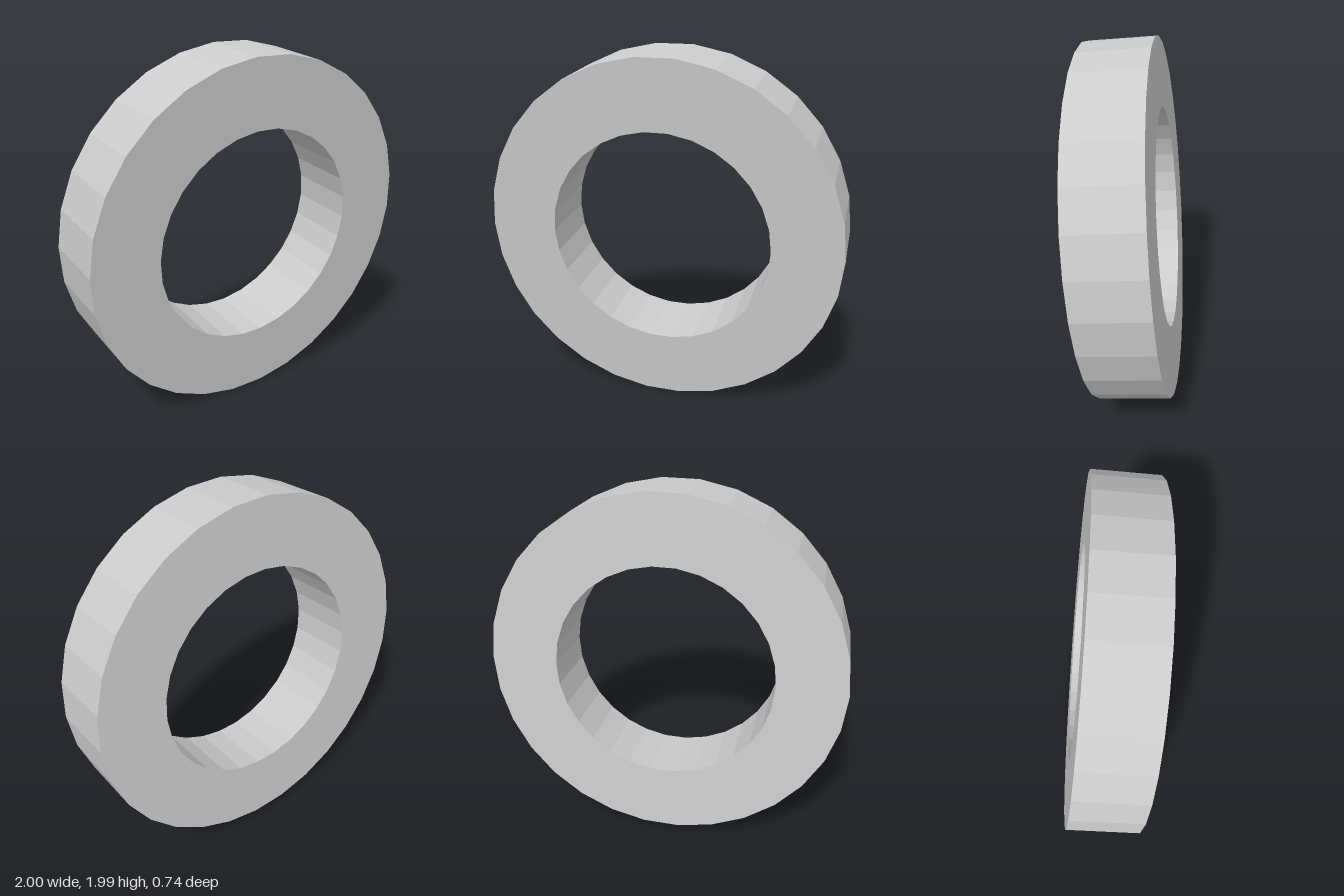
import * as THREE from 'three';

const SIDES = 30;
const OUTER = 0.984, INNER = 0.607, DEPTH = 0.38;

// Regular polygon of the given radius
function polygon(radius) {
  return Array.from({ length: SIDES }, (_, i) => {
    const a = (i / SIDES) * Math.PI * 2;
    return new THREE.Vector2(radius * Math.cos(a), radius * Math.sin(a));
  });
}

export function createModel() {
  const group = new THREE.Group();
  group.name = 'tiltedRing';

  // Flat-faced ring with a round hole, centred on its own axis
  const shape = new THREE.Shape(polygon(OUTER));
  shape.holes.push(new THREE.Path(polygon(INNER)));
  const geometry = new THREE.ExtrudeGeometry(shape, { depth: DEPTH, bevelEnabled: false });
  geometry.translate(0, 0, -DEPTH / 2);

  const ring = new THREE.Mesh(
    geometry,
    new THREE.MeshStandardMaterial({ color: 0xcccccc, flatShading: true })
  );
  ring.name = 'ring';

  // Lean the axis a little to the right and down
  const axis = new THREE.Vector3(-0.162, -0.098, 0.982).normalize();
  ring.quaternion.setFromUnitVectors(new THREE.Vector3(0, 0, 1), axis);
  ring.position.y = 0.998;
  group.add(ring);
  return group;
}
